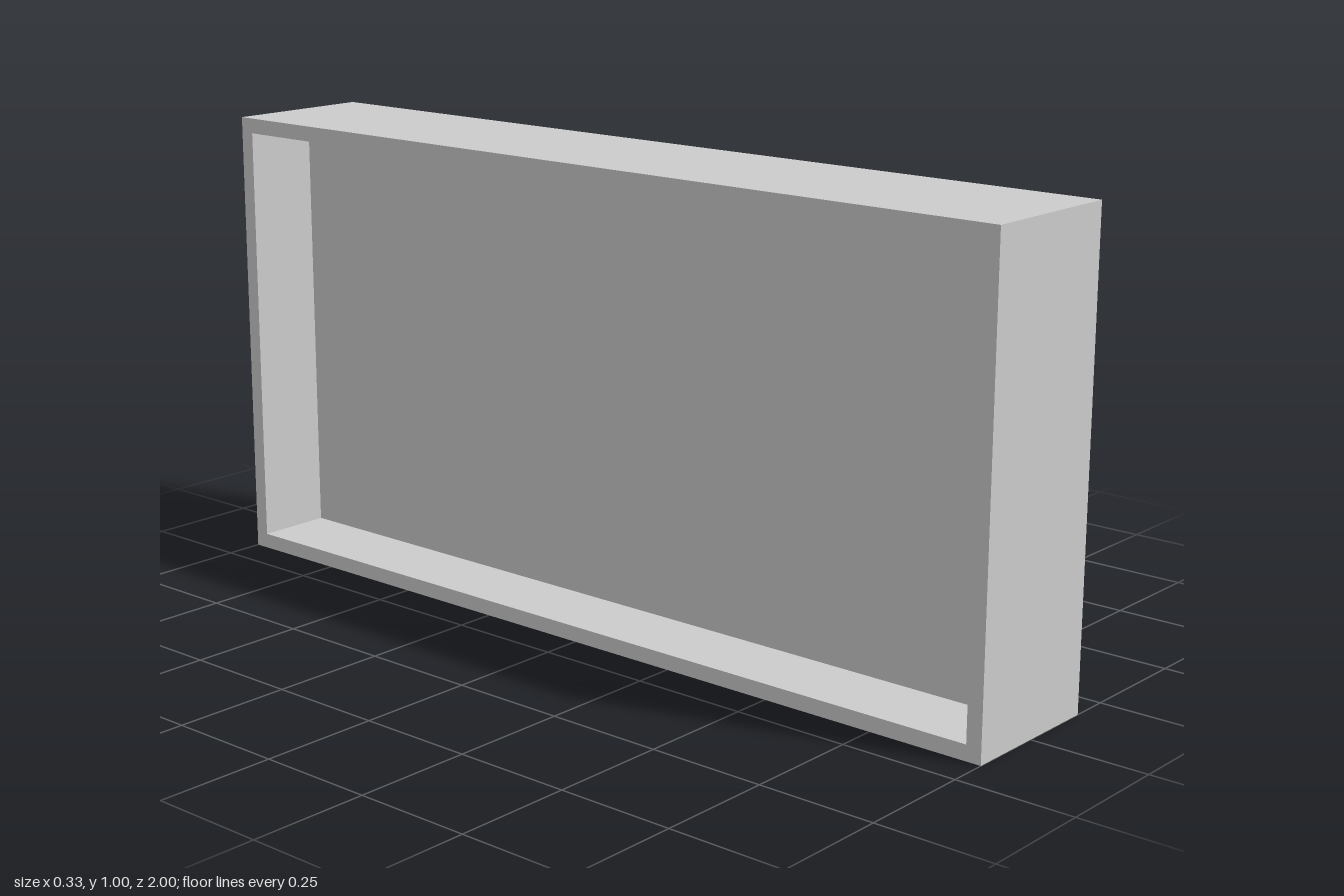
import * as THREE from 'three';

const HALF_X = 0.167, HEIGHT = 1, HALF_Z = 1, RIM = 0.033;
const BACK = 0.0, POCKET = 0.02;           // x of the tray floor and of the pocket floor
const BASE = 0.32, TIP = 0.018;            // half widths of the tapered opening

// Rectangle outline, symmetric about the middle
function rect(shape, half, y0, y1) {
  shape.moveTo(-half, y0);
  shape.lineTo(half, y0);
  shape.lineTo(half, y1);
  shape.lineTo(-half, y1);
  shape.closePath();
  return shape;
}

export function createModel() {
  const group = new THREE.Group();
  const material = new THREE.MeshStandardMaterial({ color: 0xcccccc, flatShading: true });
  const thin = new THREE.MeshStandardMaterial({ color: 0xcccccc, flatShading: true, side: THREE.DoubleSide });

  const add = (name, geometry, mat = material) => {
    const mesh = new THREE.Mesh(geometry, mat);
    mesh.name = name;
    group.add(mesh);
  };

  // Slab of the block between two x positions, with an optional rectangular hole
  const slab = (name, x0, x1, holeHalf) => {
    const shape = rect(new THREE.Shape(), HALF_Z, 0, HEIGHT);
    if (holeHalf) shape.holes.push(rect(new THREE.Path(), holeHalf, RIM, HEIGHT - RIM));
    const geometry = new THREE.ExtrudeGeometry(shape, { depth: x1 - x0, bevelEnabled: false });
    geometry.rotateY(Math.PI / 2);
    geometry.translate(x0, 0, 0);
    add(name, geometry);
  };

  slab('trayFrame', -HALF_X, BACK, HALF_Z - RIM);
  slab('dividerWall', BACK, POCKET);
  slab('pocketBlock', POCKET, HALF_X, BASE);

  // Thin cheeks that narrow the pocket opening to a tall taper
  for (const side of [-1, 1]) {
    const cheek = new THREE.Shape([
      new THREE.Vector2(side * BASE, RIM),
      new THREE.Vector2(side * BASE, HEIGHT - RIM),
      new THREE.Vector2(side * TIP, HEIGHT - RIM),
    ]);
    const geometry = new THREE.ShapeGeometry(cheek);
    geometry.rotateY(Math.PI / 2);
    geometry.translate(HALF_X, 0, 0);
    add(side < 0 ? 'frontCheek' : 'backCheek', geometry, thin);
  }
  return group;
}
